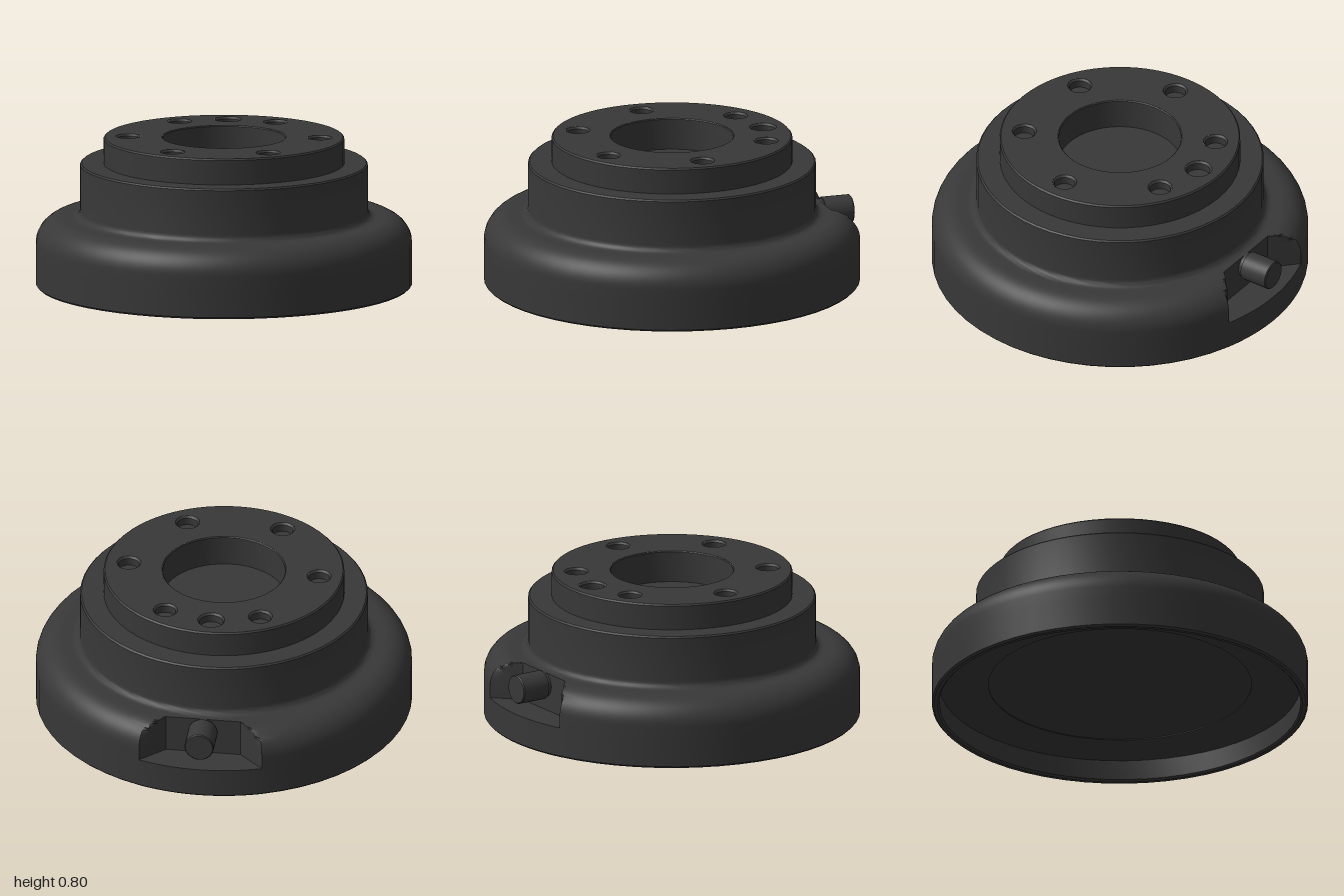
import * as THREE from 'three';
import { mergeGeometries, toCreasedNormals } from 'three/addons/utils/BufferGeometryUtils.js';

const material = new THREE.MeshStandardMaterial({ color: 0x383838 });
const SEG = 56;
const CREASE = 0.6;

const points = (list) => list.map(([r, y]) => new THREE.Vector2(r, y));

function addMesh(parent, name, geometry) {
  const mesh = new THREE.Mesh(toCreasedNormals(geometry, CREASE), material);
  mesh.name = name;
  parent.add(mesh);
  return mesh;
}

// Quarter arc in the profile plane
function arc(cx, cy, r, from, to, n) {
  return Array.from({ length: n + 1 }, (_, i) => {
    const a = from + (to - from) * i / n;
    return [cx + r * Math.cos(a), cy + r * Math.sin(a)];
  });
}

// Notch in the back of the flange: flat wall with two slanted cheeks
const NOTCH = { y: 0.165, x0: 0.2, z0: 0.82, x1: 0.33, z1: 0.944 };
const innerAngle = Math.atan2(NOTCH.x0, NOTCH.z0);
const outerAngle = Math.atan2(NOTCH.x1, NOTCH.z1);

function notchRadius(a) {
  a = Math.abs(a);
  if (a <= innerAngle) return NOTCH.z0 / Math.cos(a);
  const dx = NOTCH.x1 - NOTCH.x0, dz = NOTCH.z1 - NOTCH.z0;
  return (NOTCH.x0 * dz - NOTCH.z0 * dx) / (Math.sin(a) * dz - Math.cos(a) * dx);
}

function flangeGeometry() {
  const lower = [
    [0, 0.125], [0.7, 0.125], [0.7, 0.12], [0.96, 0.12], [0.96, 0.01], [0.97, 0],
    [0.99, 0], [1, 0.01], [1, NOTCH.y],
  ];
  const upper = [[1, NOTCH.y], ...arc(0.86, 0.23, 0.14, 0, Math.PI / 2, 14), [0.8, 0.37]];
  const profile = points([...lower, ...upper]);
  // Sectors measured from the back; those inside the notch are cut back
  const sectors = [
    [outerAngle, 2 * Math.PI - outerAngle, SEG - 6, false],
    [-outerAngle, -innerAngle, 3, true],
    [-innerAngle, innerAngle, 8, true],
    [innerAngle, outerAngle, 3, true],
  ];
  return mergeGeometries(sectors.map(([from, to, n, cut]) => {
    const g = new THREE.LatheGeometry(profile, n, Math.PI + from, to - from);
    if (cut) {
      const p = g.attributes.position;
      for (let i = 0; i < p.count; i++) {
        if (i % profile.length < lower.length) continue;
        const x = p.getX(i), z = p.getZ(i);
        const k = Math.min(1, notchRadius(Math.atan2(x, -z)) / Math.hypot(x, z));
        p.setX(i, x * k);
        p.setZ(i, z * k);
      }
    }
    return g;
  }));
}

export function createModel() {
  const model = new THREE.Group();
  model.name = 'steppedFlangeHub';

  addMesh(model, 'flange', flangeGeometry());

  // Two-step hub with a filleted foot
  addMesh(model, 'hub', new THREE.LatheGeometry(points([
    ...arc(0.805, 0.41, 0.04, -Math.PI / 2, -Math.PI, 6),
    [0.765, 0.652], [0.757, 0.66], [0.64, 0.66], [0.64, 0.792], [0.632, 0.8],
  ]), SEG));

  // Bolt holes on a circle, plus one locating hole at the back
  const holes = [];
  for (let i = 0; i < 6; i++) {
    const a = i * Math.PI / 3;
    holes.push({ name: 'boltHole', x: 0.51 * Math.cos(a), z: 0.51 * Math.sin(a), r: 0.065, depth: 0.05 });
  }
  holes.push({ name: 'locatingHole', x: 0, z: -0.51, r: 0.072, depth: 0.05 });
  holes.push({ name: 'centreBore', x: 0, z: 0, r: 0.33, depth: 0.17 });

  // Top face pierced by the holes
  const face = new THREE.Shape().absarc(0, 0, 0.632, 0, Math.PI * 2);
  for (const h of holes) {
    face.holes.push(new THREE.Path().absarc(h.x, -h.z, h.r, 0, Math.PI * 2, true));
  }
  addMesh(model, 'topFace', new THREE.ShapeGeometry(face, SEG).rotateX(-Math.PI / 2).translate(0, 0.8, 0));

  // Chamfered blind walls and floors
  for (const h of holes) {
    const c = h.r > 0.2 ? 0.005 : 0.01;
    const g = new THREE.LatheGeometry(points([
      [h.r, 0.8], [h.r - c, 0.8 - c], [h.r - c, 0.8 - h.depth], [0, 0.8 - h.depth],
    ]), h.r > 0.2 ? SEG : 28);
    addMesh(model, h.name, g.translate(h.x, 0, h.z));
  }

  // Pin standing out of the notch, with a narrower neck at the wall
  const pin = addMesh(model, 'pin', new THREE.LatheGeometry(points([
    [0.068, 0.8], [0.068, 0.84], [0.078, 0.84], [0.078, 0.995], [0.073, 1], [0, 1],
  ]), 28));
  pin.rotation.x = -Math.PI / 2;
  pin.position.y = 0.303;

  return model;
}
